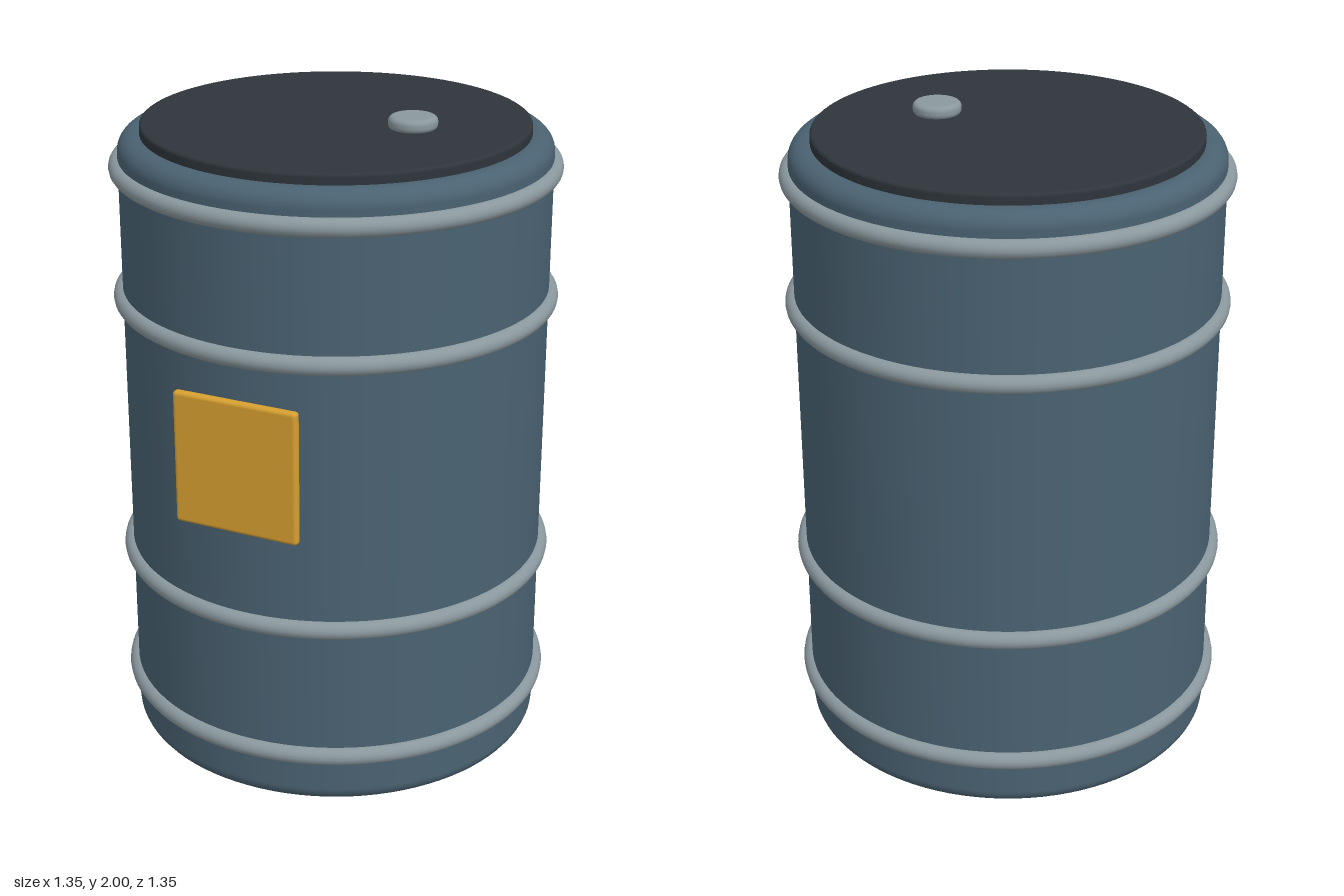
import * as THREE from 'three';
import { RoundedBoxGeometry } from 'three/addons/geometries/RoundedBoxGeometry.js';

const paint = (name, color) => {
  const m = new THREE.MeshStandardMaterial({ color });
  m.name = name;
  return m;
};

// Solid disc or drum from y0 to y1 with rounded rims
function drum(radius, y0, y1, bevel, segments) {
  const points = [new THREE.Vector2(0, y0), new THREE.Vector2(radius - bevel - 0.005, y0)];
  const steps = 6;
  for (const [cy, start] of [[y0 + bevel, -Math.PI / 2], [y1 - bevel, 0]]) {
    for (let i = 0; i <= steps; i++) {
      const a = start + (i / steps) * Math.PI / 2;
      points.push(new THREE.Vector2(radius - bevel + Math.cos(a) * bevel, cy + Math.sin(a) * bevel));
    }
  }
  points.push(new THREE.Vector2(radius - bevel - 0.005, y1), new THREE.Vector2(0, y1));
  return new THREE.LatheGeometry(points, segments);
}

export function createModel() {
  const model = new THREE.Group();
  model.name = 'barrel';
  const blue = paint('blue grey paint', 0x4a6272);
  const steel = paint('light steel', 0x8a989e);
  const dark = paint('dark lid', 0x2e353b);
  const amber = paint('amber label', 0xd69f30);

  const add = (name, geometry, material, x = 0, y = 0, z = 0) => {
    const mesh = new THREE.Mesh(geometry, material);
    mesh.name = name;
    mesh.position.set(x, y, z);
    model.add(mesh);
    return mesh;
  };

  // Shell and lid
  add('body', drum(0.647, 0, 1.932, 0.05, 96), blue);
  add('lid', drum(0.58, 1.92, 1.964, 0.01, 96), dark);

  // Hoops around the shell
  const hoop = new THREE.TorusGeometry(0.647, 0.028, 16, 96).rotateX(Math.PI / 2);
  [0.17, 0.602, 1.435, 1.835].forEach((y, i) => add(`hoop${i + 1}`, hoop, steel, 0, y));

  // Filler cap on the lid
  add('cap', drum(0.073, 1.96, 2, 0.016, 40), steel, 0.248);

  // Front label plate
  add('label', new RoundedBoxGeometry(0.395, 0.412, 0.03, 3, 0.012), amber, -0.002, 1.1, 0.653);

  return model;
}
